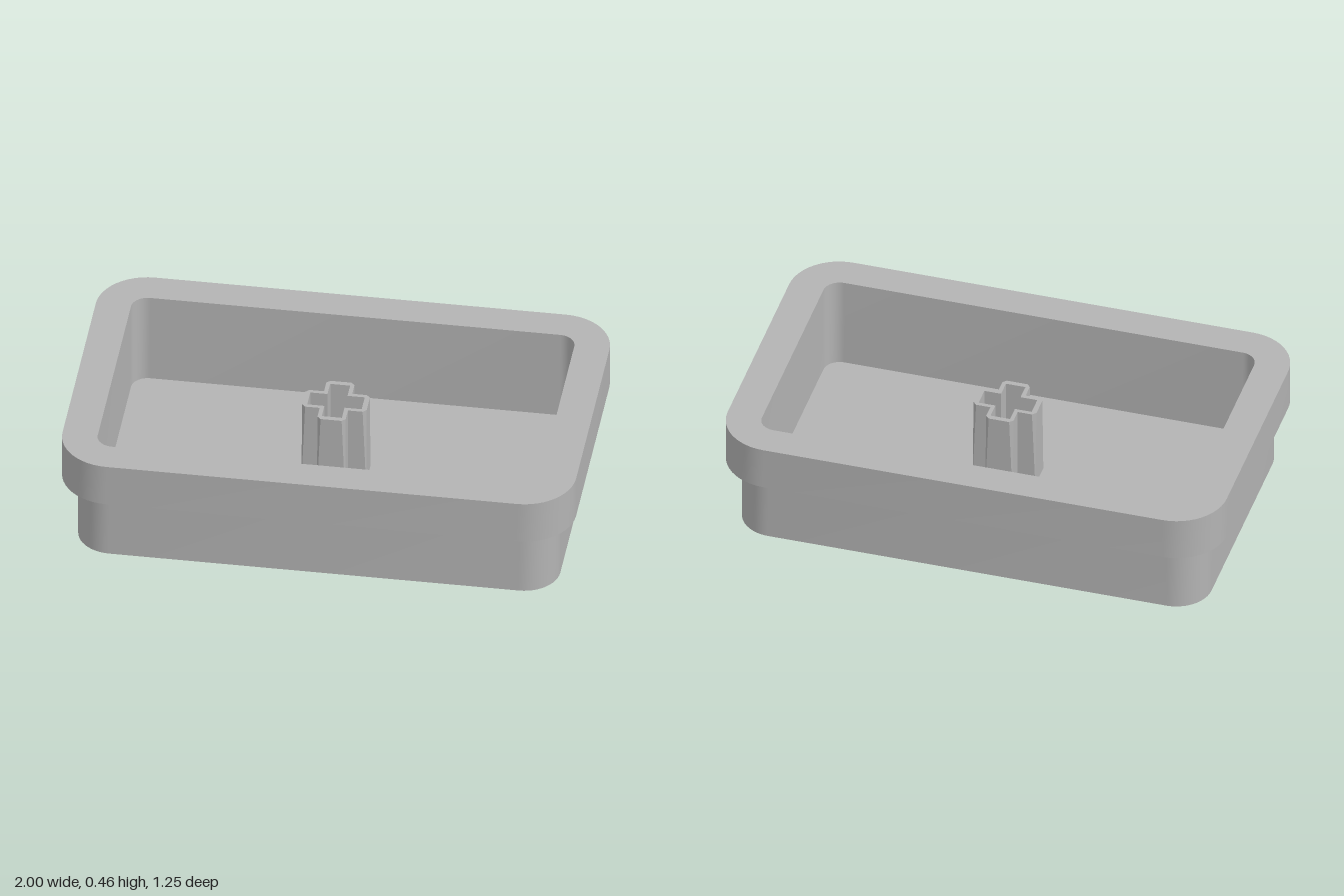
import * as THREE from 'three';
import { toCreasedNormals } from 'three/addons/utils/BufferGeometryUtils.js';

// Rounded rectangle as [x, z] points, running from +x towards +z
function roundedRect(halfX, halfZ, radius, steps = 12) {
  const points = [];
  [[1, 1], [-1, 1], [-1, -1], [1, -1]].forEach(([sx, sz], corner) => {
    for (let i = 0; i <= steps; i++) {
      const a = (corner + i / steps) * Math.PI / 2;
      points.push([sx * (halfX - radius) + radius * Math.cos(a), sz * (halfZ - radius) + radius * Math.sin(a)]);
    }
  });
  return points;
}

// Plus sign whose arm ends have chamfered corners
function cross(reach, halfArm, chamfer) {
  const quarter = [
    [reach, -halfArm + chamfer], [reach, halfArm - chamfer],
    [reach - chamfer, halfArm], [halfArm, halfArm], [halfArm, reach - chamfer],
    [halfArm - chamfer, reach],
  ];
  // The last two points lead into the next arm, which starts the next quarter
  const points = [];
  for (let q = 0; q < 4; q++) {
    for (const [x, z] of quarter.slice(0, 5)) {
      const turned = [[x, z], [-z, x], [-x, -z], [z, -x]][q];
      points.push(turned);
    }
  }
  return points;
}

// Skin a list of { y, points } sections, with optional caps at both ends
function loft(sections, capped) {
  const n = sections[0].points.length;
  const positions = [];
  const index = [];
  for (const { y, points } of sections) for (const [x, z] of points) positions.push(x, y, z);
  for (let k = 0; k < sections.length - 1; k++) {
    for (let i = 0; i < n; i++) {
      const j = (i + 1) % n;
      const a = k * n + i, b = k * n + j, c = a + n, d = b + n;
      index.push(a, c, b, b, c, d);
    }
  }
  if (capped) {
    const last = sections.length - 1;
    const start = positions.length / 3;
    positions.push(0, sections[0].y, 0, 0, sections[last].y, 0);
    for (let i = 0; i < n; i++) {
      const j = (i + 1) % n;
      index.push(start, i, j, start + 1, last * n + j, last * n + i);
    }
  }
  const geometry = new THREE.BufferGeometry();
  geometry.setAttribute('position', new THREE.Float32BufferAttribute(positions, 3));
  geometry.setIndex(index);
  return toCreasedNormals(geometry, 0.5);
}

export function createModel() {
  const group = new THREE.Group();
  const grey = new THREE.MeshStandardMaterial({ color: 0xb3b3b3, side: THREE.DoubleSide });
  grey.name = 'grey plastic';

  // Tray: outer wall, overhanging lip, rim, then down the inside to the floor
  const floorY = 0.075, lipY = 0.28, topY = 0.458;
  const body = roundedRect(0.938, 0.562, 0.14);
  const lip = roundedRect(1, 0.624, 0.2);
  const cavity = roundedRect(0.863, 0.49, 0.065);
  const tray = new THREE.Mesh(loft([
    { y: 0, points: body },
    { y: lipY, points: body },
    { y: lipY, points: lip },
    { y: topY, points: lip },
    { y: topY, points: cavity },
    { y: floorY, points: cavity },
  ], true), grey);
  tray.name = 'tray';
  group.add(tray);

  // Hollow post: square at the foot, corners chamfered towards the top
  const postTop = 0.41;
  const post = new THREE.Mesh(loft([
    { y: floorY, points: cross(0.126, 0.055, 0.001) },
    { y: postTop, points: cross(0.126, 0.055, 0.014) },
    { y: postTop, points: cross(0.106, 0.039, 0.001) },
    { y: floorY, points: cross(0.106, 0.039, 0.001) },
  ], false), grey);
  post.name = 'crossPost';
  group.add(post);

  return group;
}
